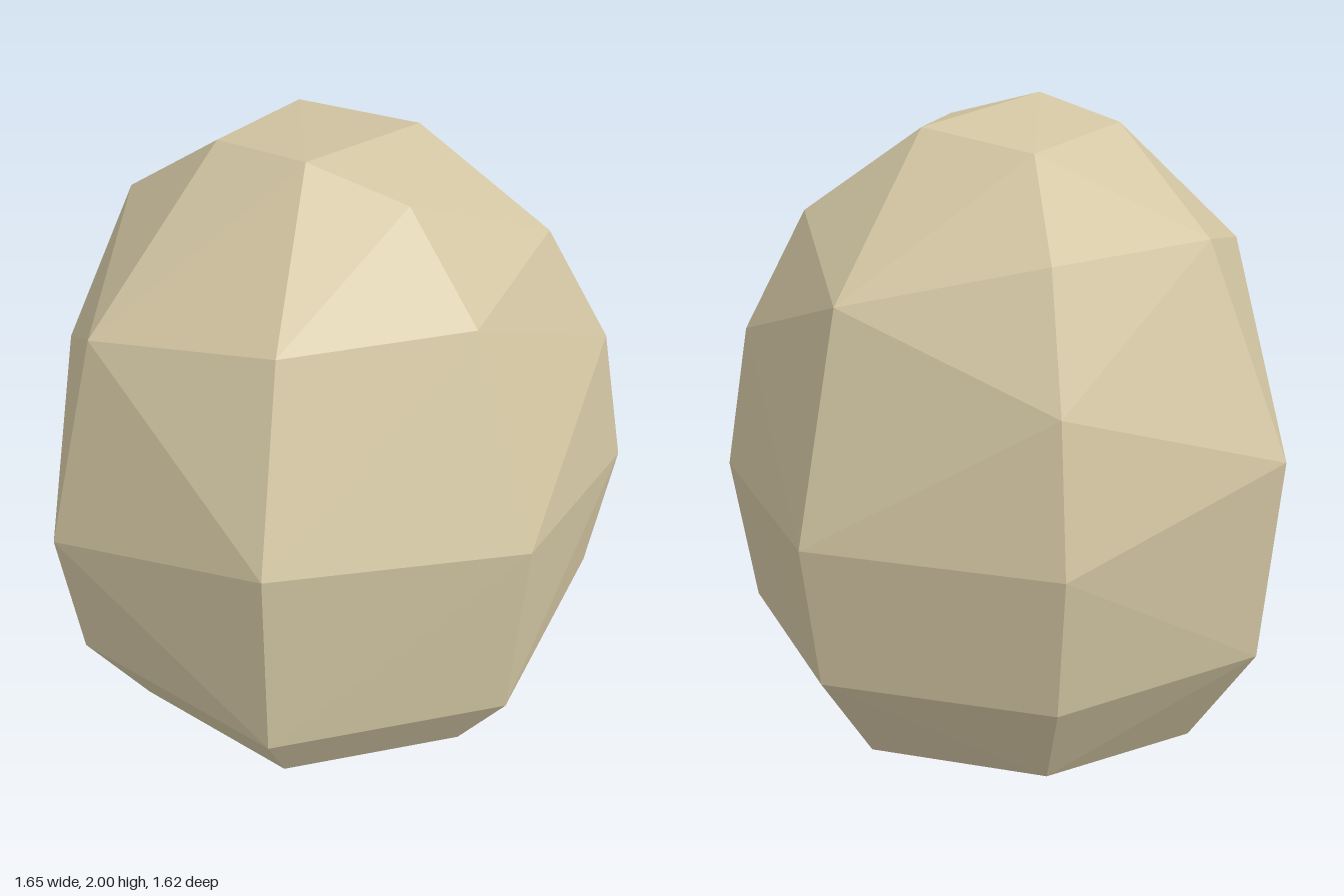
import * as THREE from 'three';
import { ConvexGeometry } from 'three/addons/geometries/ConvexGeometry.js';

export function createModel() {
  const group = new THREE.Group();
  group.name = 'eggStone';

  const sandstone = new THREE.MeshStandardMaterial({ color: 0xd3c6a3 });
  sandstone.name = 'sandstone';

  // Seven-sided faceted egg, listed ring by ring from the base up
  const rings = [
    // underside
    [[-0.045, 0, -0.05], [0.21, 0.045, 0.01], [0.04, 0.04, 0.265]],
    // lower ring
    [[0, 0.23, -0.56], [0.47, 0.23, -0.335], [0.585, 0.23, 0.175], [0.26, 0.23, 0.585],
      [-0.26, 0.23, 0.585], [-0.55, 0.19, 0.19], [-0.47, 0.23, -0.34]],
    // belly ring
    [[0, 0.5, -0.745], [0.605, 0.5, -0.45], [0.765, 0.5, 0.215], [0.34, 0.5, 0.75],
      [-0.34, 0.5, 0.75], [-0.765, 0.5, 0.215], [-0.605, 0.5, -0.45]],
    // widest ring, uneven in height
    [[0, 0.915, -0.81], [0.665, 0.915, -0.49], [0.825, 1.11, 0.235], [0.37, 1.155, 0.795],
      [-0.37, 0.915, 0.805], [-0.83, 1.095, 0.225], [-0.665, 0.915, -0.49]],
    // back corners of the shoulder
    [[0.61, 1.333, -0.45], [-0.61, 1.333, -0.45]],
    // shoulder ring
    [[0, 1.555, -0.66], [0.47, 1.685, -0.335], [0.585, 1.685, 0.175], [0.26, 1.685, 0.585],
      [-0.3, 1.555, 0.675], [-0.585, 1.685, 0.175], [-0.47, 1.685, -0.335]],
    // crown
    [[0.06, 2, 0.205], [0.32, 1.92, 0.11], [0.12, 1.95, -0.21],
      [-0.25, 1.92, -0.16], [-0.245, 1.955, 0.195]],
  ];

  const points = rings.flat().map((p) => new THREE.Vector3(...p));
  const stone = new THREE.Mesh(new ConvexGeometry(points), sandstone);
  stone.name = 'stone';
  group.add(stone);
  return group;
}
